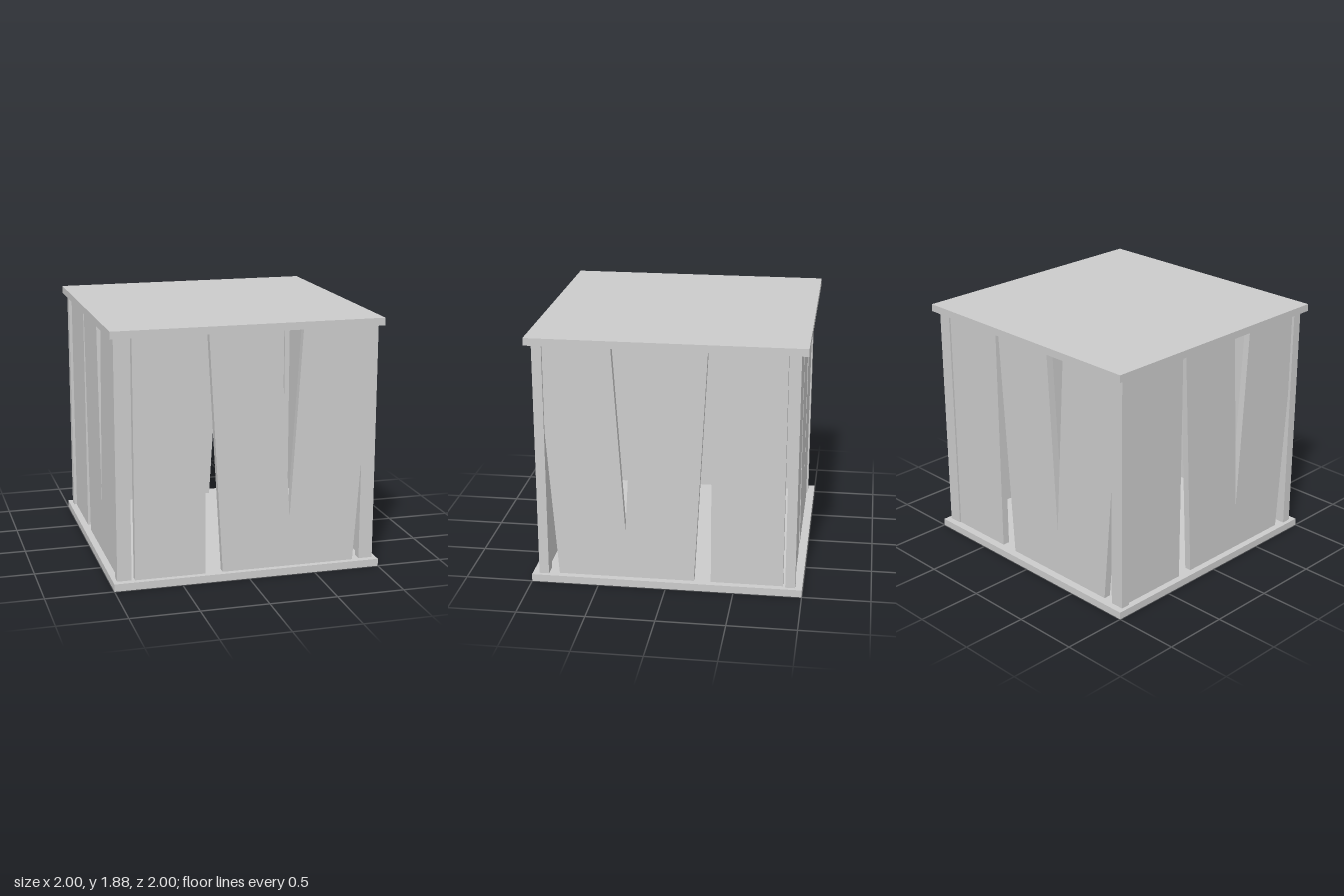
import * as THREE from 'three';

export function createModel() {
  const model = new THREE.Group();
  const material = new THREE.MeshStandardMaterial({ color: 0xcccccc, flatShading: true });
  const SLAB = 0.055, HEIGHT = 1.88;
  const LOW = SLAB, HIGH = HEIGHT - SLAB;

  const add = (name, geometry, parent = model) => {
    const mesh = new THREE.Mesh(geometry, material);
    mesh.name = name;
    parent.add(mesh);
    return mesh;
  };
  const box = (name, w, h, d, x, y, z) =>
    add(name, new THREE.BoxGeometry(w, h, d)).position.set(x, y, z);

  // Floor and roof slabs
  box('floorSlab', 2, SLAB, 2, 0, SLAB / 2, 0);
  box('roofSlab', 2, SLAB, 2, 0, HEIGHT - SLAB / 2, 0);

  // Corner posts, reaching down through the floor
  for (const sx of [-1, 1])
    for (const sz of [-1, 1])
      box('cornerPost', 0.105, HIGH, 0.072, sx * 0.917, HIGH / 2, sz * 0.914);

  // Flat upright panel from an outline, outer face at z = outer
  const panel = (name, points, outer, thick, parent) => {
    const shape = new THREE.Shape(points.map(([x, y]) => new THREE.Vector2(x, y)));
    const geometry = new THREE.ExtrudeGeometry(shape, { depth: thick, bevelEnabled: false });
    add(name, geometry.translate(0, 0, outer - thick), parent);
  };

  // Wall: a plain panel, a tapering gap, then a slanted panel with a V notch
  const wall = (name, { plain, slant, notch, end, outer, thick, turn = 0, flip = false }) => {
    const group = new THREE.Group();
    group.name = name;
    const s = flip ? -1 : 1;
    const place = (label, points) =>
      panel(label, points.map(([u, y]) => [u * s, y]), outer, thick, group);
    place('plainPanel', [[plain[0], LOW], [plain[1], LOW], [plain[1], HIGH], [plain[0], HIGH]]);
    place('notchedPanel', [
      [slant[0], LOW], [end[0], LOW], [end[1], HIGH], [notch + 0.088, HIGH],
      [notch, 0.425], [notch - 0.082, HIGH], [slant[1], HIGH],
    ]);
    group.rotation.y = turn;
    model.add(group);
  };

  wall('frontWall', {
    plain: [-0.84, -0.32], slant: [-0.19, -0.29], notch: 0.315, end: [0.81, 0.93],
    outer: 0.957, thick: 0.055,
  });
  wall('backWall', {
    plain: [-0.86, -0.34], slant: [-0.2, -0.31], notch: 0.29, end: [0.78, 0.925],
    outer: 0.94, thick: 0.055, turn: Math.PI,
  });

  // Side walls mirror each other, notched panel towards the front
  const side = {
    plain: [-0.86, -0.33], slant: [-0.205, -0.3], notch: 0.3, end: [0.8, 0.924],
    outer: 0.95, thick: 0.05,
  };
  wall('leftWall', { ...side, turn: Math.PI / 2, flip: true });
  wall('rightWall', { ...side, turn: -Math.PI / 2 });

  return model;
}
